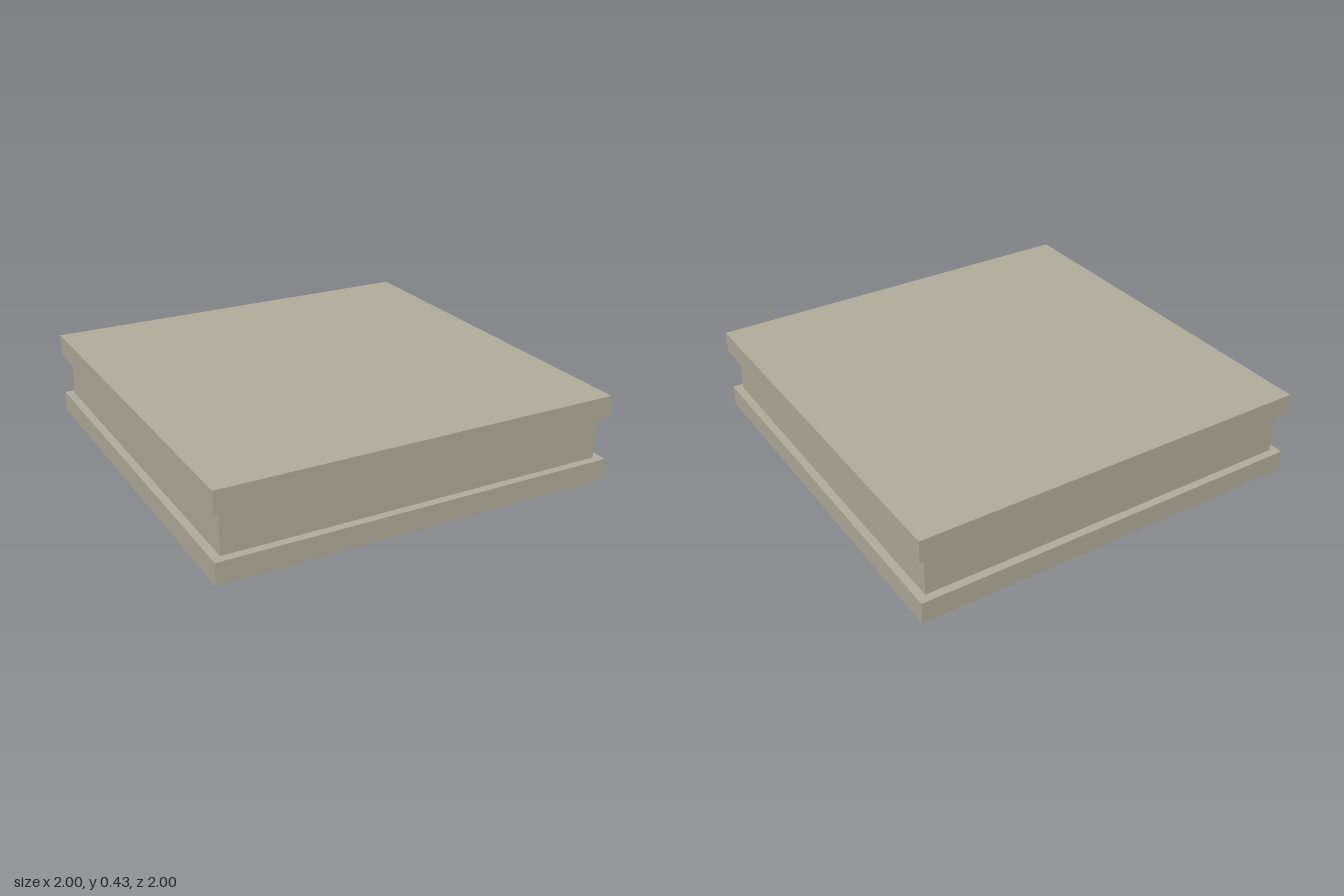
import * as THREE from 'three';

const HEIGHT = 0.43;
const SLAB = 0.107; // thickness of each outer slab
const INSET = 0.04; // recess of the core on every side

export function createModel() {
  const model = new THREE.Group();
  model.name = 'layeredSquareBlock';
  const material = new THREE.MeshStandardMaterial({ color: 0xb3af9c });

  // Square layer standing on the given height
  const addLayer = (name, width, height, bottom) => {
    const mesh = new THREE.Mesh(new THREE.BoxGeometry(width, height, width), material);
    mesh.name = name;
    mesh.position.y = bottom + height / 2;
    model.add(mesh);
  };

  addLayer('bottomSlab', 2, SLAB, 0);
  addLayer('recessedCore', 2 - 2 * INSET, HEIGHT - 2 * SLAB, SLAB);
  addLayer('topSlab', 2, SLAB, HEIGHT - SLAB);

  return model;
}
